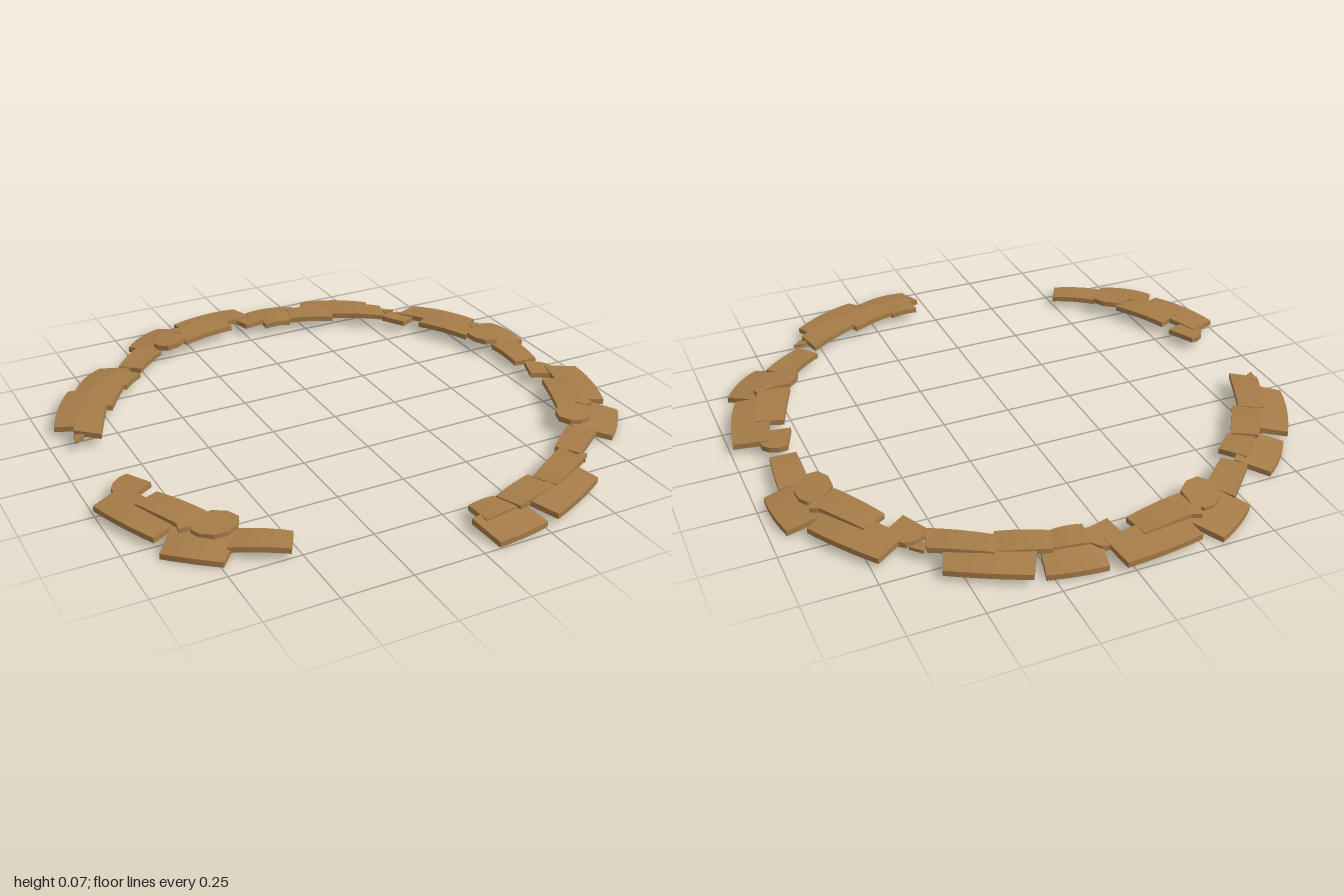
import * as THREE from 'three';

const material = new THREE.MeshStandardMaterial({ color: 0xa67c48 });
const THICK = 0.02;
const CX = -0.015, CZ = 0.012; // centre of the stone ring

function addMesh(group, name, geometry) {
  const mesh = new THREE.Mesh(geometry, material);
  mesh.name = name;
  group.add(mesh);
}

// Four-cornered slab: corners [innerA, innerB, outerB, outerA], A at the larger angle.
// The top runs from height yIn to yOut, with a slight arch and a bowed outer edge.
function slab(group, name, corners, yIn, yOut, bulge = 0.01, arch = 0.005) {
  const [a, b, c, d] = corners.map(([x, z]) => new THREE.Vector2(x - CX, z - CZ));
  const geo = new THREE.BoxGeometry(1, 1, 1, 6, 1, 3);
  const pos = geo.attributes.position;
  for (let i = 0; i < pos.count; i++) {
    const u = pos.getX(i) + 0.5, v = pos.getZ(i) + 0.5;
    const bow = 1 - (2 * u - 1) ** 2;
    const p = a.clone().lerp(b, u).lerp(d.clone().lerp(c, u), v);
    p.setLength(p.length() + bulge * bow * v);
    const y = yIn + (yOut - yIn) * v + arch * (bow - 1) + (pos.getY(i) - 0.5) * THICK;
    pos.setXYZ(i, p.x, y, p.y);
  }
  geo.computeVertexNormals();
  addMesh(group, name, geo);
}

// Broken stone with a free outline, its top tilted down outwards around height y.
function chip(group, name, outline, y, tilt = 0.1, thick = THICK) {
  const pts = outline.map(([x, z]) => new THREE.Vector2(x - CX, -(z - CZ)));
  const mid = pts.reduce((m, p) => m.add(p), new THREE.Vector2()).divideScalar(pts.length);
  const dir = mid.clone().normalize();
  const geo = new THREE.ExtrudeGeometry(new THREE.Shape(pts), { depth: thick, bevelEnabled: false });
  geo.rotateX(-Math.PI / 2);
  const pos = geo.attributes.position;
  for (let i = 0; i < pos.count; i++) {
    const out = (pos.getX(i) - mid.x) * dir.x - (pos.getZ(i) + mid.y) * dir.y;
    pos.setY(i, pos.getY(i) + y - thick - tilt * out);
  }
  geo.computeVertexNormals();
  addMesh(group, name, geo);
}

// Run of stones ending in a narrow bar
function barRun() {
  const g = new THREE.Group();
  chip(g, 'roundedEndStone', [[0.82, 0.02], [0.85, 0.022], [0.88, 0.04], [0.9, 0.065],
    [0.9, 0.09], [0.87, 0.15], [0.78, 0.12]], 0.047);
  slab(g, 'outerSlab', [[0.79, 0.36], [0.87, 0.08], [0.99, 0.12], [0.915, 0.395]], 0.054, 0.041);
  slab(g, 'innerSlab', [[0.71, 0.39], [0.79, 0.18], [0.885, 0.21], [0.82, 0.42]], 0.058, 0.06, 0.004);
  slab(g, 'lowSlab', [[0.68, 0.52], [0.83, 0.36], [0.93, 0.46], [0.79, 0.61]], 0.048, 0.025);
  chip(g, 'roundedStone', [[0.655, 0.475], [0.67, 0.43], [0.71, 0.395], [0.78, 0.405], [0.81, 0.44],
    [0.8, 0.475], [0.765, 0.51], [0.72, 0.52], [0.68, 0.51]], 0.06);
  chip(g, 'splinter', [[0.78, 0.4], [0.83, 0.38], [0.84, 0.42], [0.8, 0.43]], 0.058);
  slab(g, 'narrowBar', [[0.54, 0.61], [0.675, 0.5], [0.755, 0.57], [0.595, 0.685]], 0.046, 0.043, 0.002);
  return g;
}

// Run of stones starting with a small shard
function shardRun() {
  const g = new THREE.Group();
  chip(g, 'shard', [[0.55, 0.705], [0.57, 0.695], [0.61, 0.7], [0.575, 0.735]], 0.045, 0.1, 0.012);
  slab(g, 'innerSlabFirst', [[0.34, 0.76], [0.54, 0.64], [0.565, 0.74], [0.38, 0.84]], 0.059, 0.061, 0.004);
  slab(g, 'outerSlab', [[0.25, 0.87], [0.51, 0.73], [0.55, 0.84], [0.3, 0.965]], 0.055, 0.041);
  slab(g, 'innerSlabSecond', [[0.17, 0.8], [0.34, 0.735], [0.385, 0.83], [0.205, 0.89]], 0.055, 0.057, 0.004);
  slab(g, 'lowSlab', [[0.035, 0.87], [0.23, 0.84], [0.26, 0.965], [0.06, 0.995]], 0.047, 0.025);
  slab(g, 'innerSlabThird', [[0.065, 0.8], [0.17, 0.79], [0.2, 0.88], [0.07, 0.9]], 0.05, 0.05, 0.002);
  return g;
}

export function createModel() {
  const model = new THREE.Group();
  model.name = 'brokenStoneRing';
  // Each run is turned around the centre; some are mirrored.
  const runs = [
    ['barRunFrontLeft', barRun, 0, false],
    ['barRunBackLeft', barRun, -49, false],
    ['barRunFrontRight', barRun, 173.1, true],
    ['barRunBack', barRun, 278.6, true],
    ['shardRunFront', shardRun, 0, false],
    ['shardRunBackRight', shardRun, 144.2, false],
    ['shardRunBack', shardRun, 1, true],
  ];
  for (const [name, build, degrees, mirrored] of runs) {
    const run = build();
    run.name = name;
    run.position.set(CX, 0, CZ);
    run.rotation.y = -THREE.MathUtils.degToRad(degrees);
    if (mirrored) run.scale.z = -1;
    model.add(run);
  }
  return model;
}
